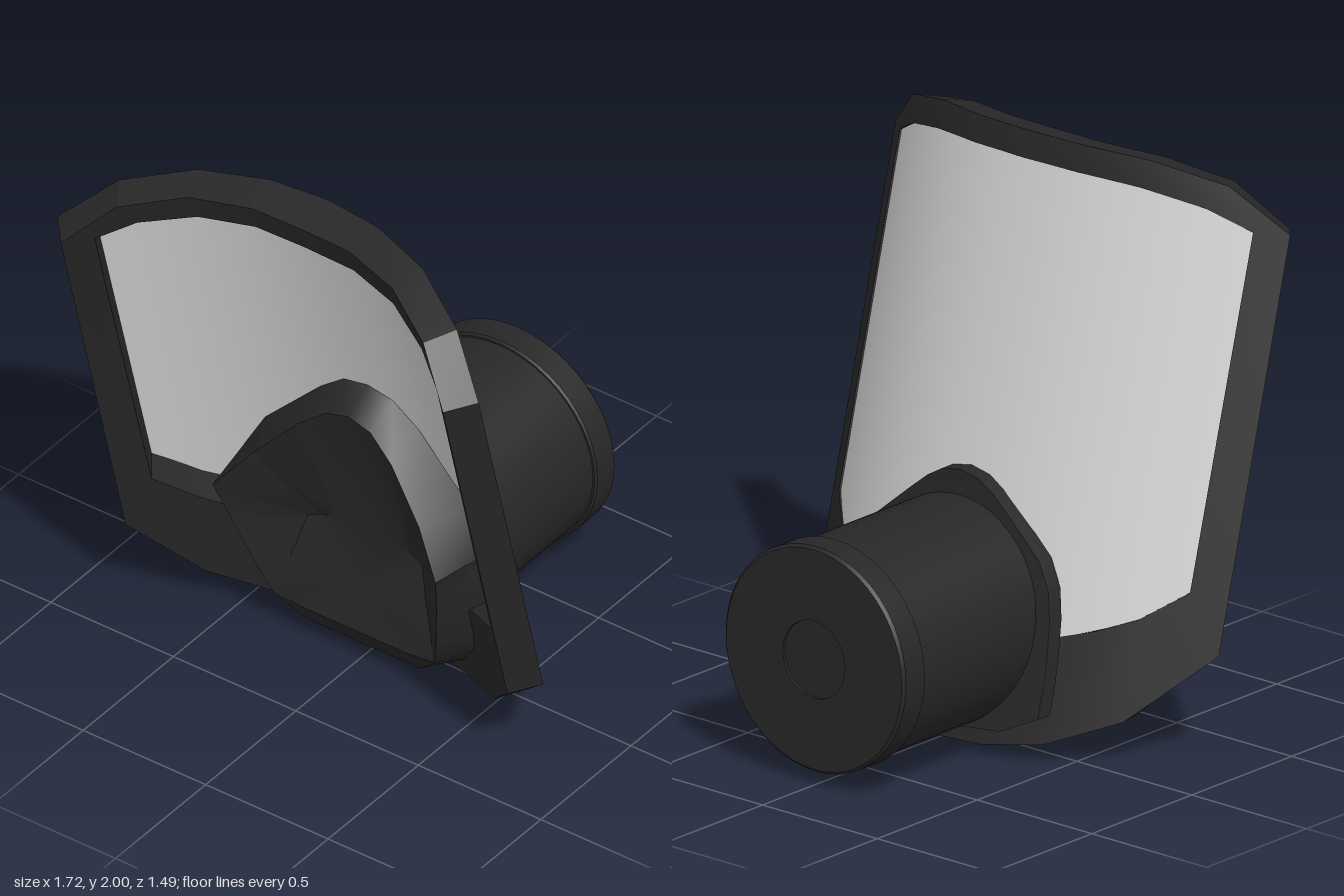
import * as THREE from 'three';
import { toCreasedNormals } from 'three/addons/utils/BufferGeometryUtils.js';

// Curved, tilted face surface that the visor, frame and cup all follow
const surfaceZ = (x, y) => -0.195 + 0.395 * Math.pow(Math.abs(x) / 0.86, 2.2) + 0.26 * y;

// Half outline (top centre, down the +x side, to bottom centre) to a closed loop
function mirrorLoop(half) {
  const other = half.slice(1, -1).reverse().map(([x, ...rest]) => [-x, ...rest]);
  return [...half, ...other];
}

// Skin consecutive closed loops of [x, y, z] points
function loft(loops, crease) {
  const n = loops[0].length;
  const index = [];
  for (let j = 0; j < loops.length - 1; j++) {
    for (let i = 0; i < n; i++) {
      const a = j * n + i, b = j * n + (i + 1) % n;
      index.push(a, a + n, b + n, a, b + n, b);
    }
  }
  const geometry = new THREE.BufferGeometry();
  geometry.setAttribute('position', new THREE.Float32BufferAttribute(loops.flat(2), 3));
  geometry.setIndex(index);
  return toCreasedNormals(geometry, crease);
}

// Front edges of the frame: outside outline and window opening
const outerHalf = [[0, 2], [0.22, 1.995], [0.46, 1.975], [0.69, 1.905], [0.86, 1.745],
  [0.86, 0.37], [0.65, 0.155], [0.43, 0.065], [0.22, 0.038], [0, 0.035]];
const openingTop = [[0, 1.91], [0.22, 1.905], [0.44, 1.885], [0.64, 1.83], [0.77, 1.755]];
const openingBottom = [[0.765, 0.58], [0.645, 0.49], [0.53, 0.445], [0.22, 0.36], [0, 0.35]];

function frameGeometry() {
  const onSurface = ([x, y]) => [x, y, surfaceZ(x, y)];
  // Thickness turns outward towards the sides and is a little deeper along the jaw
  const pushBack = ([x, y, z]) => {
    const t = Math.abs(x) / 0.86;
    const jaw = y < 0.3 ? 0.05 * t : 0;
    return [x - Math.sign(x) * 0.08 * t, y - 0.035 + 0.015 * t, z + 0.145 - 0.055 * t + jaw];
  };
  const outer = mirrorLoop(outerHalf).map(onSurface);
  const inner = mirrorLoop([...openingTop, ...openingBottom]).map(onSurface);
  return loft([outer, outer.map(pushBack), inner.map(pushBack), inner, outer], 0.3);
}

// Height of an opening edge at x
function edgeY(points, x) {
  for (let i = 0; i < points.length - 1; i++) {
    const [x0, y0] = points[i], [x1, y1] = points[i + 1];
    if (x <= x1) return y0 + (y1 - y0) * (x - x0) / (x1 - x0);
  }
  return points[points.length - 1][1];
}

function visorGeometry() {
  const geometry = new THREE.PlaneGeometry(1.54, 1, 36, 6);
  const pos = geometry.attributes.position;
  const bottom = [...openingBottom].reverse();
  for (let i = 0; i < pos.count; i++) {
    const x = pos.getX(i), ax = Math.abs(x);
    const y = THREE.MathUtils.lerp(edgeY(bottom, ax), edgeY(openingTop, ax), pos.getY(i) + 0.5);
    pos.setXYZ(i, x, y, surfaceZ(x, y) + 0.008);
  }
  geometry.computeVertexNormals();
  return geometry;
}

// Hollow nose and chin cup: a base on the visor, a raised rim and a flat sloping chin
function cupGeometry() {
  const base = [[0, 1.1, 0.01], [0.1, 1.08, 0.01], [0.2, 1, 0.01], [0.42, 0.78, 0.01], [0.5, 0.64, 0.01],
    [0.52, 0.48, 0.02], [0.51, 0.25, 0.06], [0.36, 0.08, 0.12], [0.22, 0.04, 0.14], [0, 0.04, 0.14]]
    .map(([x, y, lift]) => [x, y, surfaceZ(x, y) + lift]);
  const rim = [[0, 1.035, 0.21], [0.09, 1.01, 0.21], [0.19, 0.935, 0.23], [0.34, 0.775, 0.28], [0.455, 0.635, 0.345],
    [0.42, 0.48, 0.29], [0.37, 0.28, 0.225], [0.33, 0.15, 0.18], [0.23, 0.05, 0.125], [0, 0.05, 0.125]];
  const chin = [[0, 0.51], [0.06, 0.51], [0.12, 0.505], [0.18, 0.495], [0.235, 0.47],
    [0.26, 0.37], [0.295, 0.26], [0.325, 0.15], [0.21, 0.14], [0, 0.14]]
    .map(([x, y]) => [x, y, 0.11 + 0.19 * (0.51 - y)]);
  const centre = chin.map(() => [0, 0.31, 0.148]);
  return loft([base, rim, chin, centre].map(mirrorLoop), 0.6);
}

// Plate behind the filter, bent to follow the face
function flangeGeometry() {
  const half = [[0, 0.905], [0.08, 0.89], [0.14, 0.855], [0.22, 0.79], [0.36, 0.67], [0.41, 0.58],
    [0.43, 0.48], [0.44, 0.37], [0.447, 0.27], [0.45, 0.17], [0.3, 0.1], [0, 0.07]];
  const shape = new THREE.Shape(mirrorLoop(half).map(([x, y]) => new THREE.Vector2(x, y)));
  const geometry = new THREE.ExtrudeGeometry(shape, { depth: 0.06, bevelEnabled: false });
  const pos = geometry.attributes.position;
  for (let i = 0; i < pos.count; i++) {
    const t = 0.9 - pos.getY(i);
    pos.setZ(i, pos.getZ(i) - 0.01 - 0.03 * t - 0.2 * t * t);
  }
  return toCreasedNormals(geometry, 0.5);
}

// Turned part whose profile [radius, distance forward] runs along -z
function turned(profile) {
  const geometry = new THREE.LatheGeometry(profile.map(([r, d]) => new THREE.Vector2(r, d)), 48);
  geometry.rotateX(-Math.PI / 2);
  geometry.translate(0, 0.438, 0);
  return toCreasedNormals(geometry, 0.5);
}

export function createModel() {
  const rubber = new THREE.MeshStandardMaterial({ color: 0x272727 });
  rubber.name = 'black rubber';
  const lens = new THREE.MeshStandardMaterial({ color: 0xd2d2d2, side: THREE.DoubleSide });
  lens.name = 'grey lens';

  const model = new THREE.Group();
  model.name = 'faceMask';
  const add = (name, geometry, material) => {
    const mesh = new THREE.Mesh(geometry, material);
    mesh.name = name;
    model.add(mesh);
  };

  add('visor', visorGeometry(), lens);
  add('frame', frameGeometry(), rubber);
  add('noseCup', cupGeometry(), rubber);
  add('filterFlange', flangeGeometry(), rubber);
  add('filterBody', turned([[0, 0.01], [0.379, 0.01], [0.379, 0.65]]), rubber);
  // Cap with a shallow round recess in its end
  add('filterCap', turned([[0.37, 0.632], [0.386, 0.632], [0.393, 0.639], [0.393, 0.733],
    [0.383, 0.743], [0.135, 0.743], [0.135, 0.733], [0, 0.733]]), rubber);
  return model;
}
